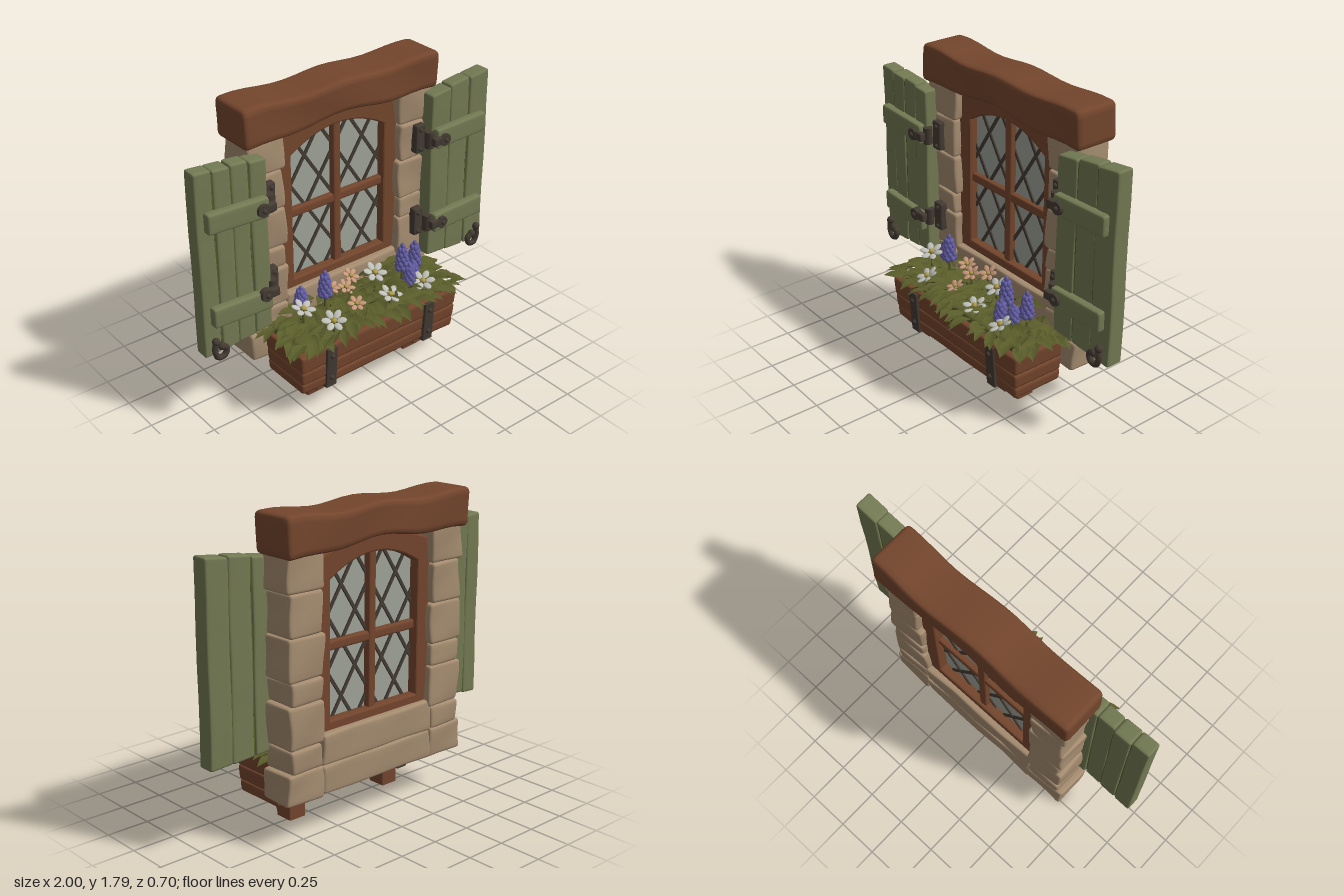
import * as THREE from 'three';
import { mergeVertices } from 'three/addons/utils/BufferGeometryUtils.js';

const mat = (name, color, side = THREE.FrontSide) => {
  const m = new THREE.MeshStandardMaterial({ color, side });
  m.name = name;
  return m;
};
const wood = mat('brown wood', 0x74462d), paint = mat('green paint', 0x737a53),
  stone = mat('sandstone', 0xa58c70), glass = mat('pale glass', 0xa0a59a),
  iron = mat('dark iron', 0x443b33), leafGreen = mat('leaf green', 0x5a5d2a, THREE.DoubleSide),
  white = mat('white petal', 0xbfc0b8), peach = mat('peach petal', 0xc6977a),
  violet = mat('violet bell', 0x6660a8), yellow = mat('yellow centre', 0xb09a42);

let seed = 7;
const rand = (a = 0, b = 1) => {
  seed = (seed * 16807) % 2147483647;
  return a + (b - a) * seed / 2147483647;
};

function add(parent, name, geo, material, x = 0, y = 0, z = 0) {
  const m = new THREE.Mesh(geo, material);
  m.name = name;
  m.position.set(x, y, z);
  parent.add(m);
  return m;
}

// Soft-edged block between two corners, hand-carved by a warp rule
function block(parent, name, material, [x0, x1], [y0, y1], [z0, z1], r, warp = () => {}, n = 8) {
  const g = new THREE.BoxGeometry(2, 2, 2, n, n, n);
  g.deleteAttribute('uv');
  g.deleteAttribute('normal');
  const half = [(x1 - x0) / 2, (y1 - y0) / 2, (z1 - z0) / 2];
  const mid = new THREE.Vector3((x0 + x1) / 2, (y0 + y1) / 2, (z0 + z1) / 2);
  const place = (u, h) => {
    const i = Math.round((Math.abs(u) - 1) * n / 2);
    const inner = h - r;
    if (i === 0) return Math.sign(u) * h;
    if (i === -1) return Math.sign(u) * (h - 0.4 * r);
    return u / (1 - 4 / n) * inner;
  };
  const p = g.attributes.position, v = new THREE.Vector3(), q = new THREE.Vector3();
  const lim = new THREE.Vector3(...half).subScalar(r), low = lim.clone().negate();
  for (let i = 0; i < p.count; i++) {
    v.set(place(p.getX(i), half[0]), place(p.getY(i), half[1]), place(p.getZ(i), half[2]));
    q.copy(v).clamp(low, lim);
    v.sub(q).normalize().multiplyScalar(r).add(q).add(mid);
    warp(v);
    p.setXYZ(i, v.x, v.y, v.z);
  }
  const geo = mergeVertices(g);
  geo.computeVertexNormals();
  return add(parent, name, geo, material);
}
const rough = (k, a = 0.006) => v => {
  v.x += a * Math.sin(17 * v.y + 9 * v.z + k);
  v.z += a * Math.sin(13 * v.x + 15 * v.y + 2 * k);
};

function buildWall(root) {
  const g = new THREE.Group();
  g.name = 'stoneSurround';
  const rows = [0.415, 0.55, 0.79, 0.92, 1.155, 1.385, 1.6];
  for (const s of [-1, 1]) {
    for (let i = 0; i < rows.length - 1; i++) {
      const out = 0.625 + (i % 2) * 0.012, inn = 0.405 - (i % 2) * 0.012;
      block(g, 'jambStone', stone, [Math.min(s * out, s * inn), Math.max(s * out, s * inn)],
        [rows[i], rows[i + 1]], [-0.315, -0.1], 0.02, rough(i * 2 + s));
    }
    block(g, 'cornerStone', stone, s < 0 ? [-0.66, -0.4] : [0.4, 0.655], [0.24, 0.42], [-0.318, -0.1], 0.022, rough(s));
  }
  block(g, 'lowerSillStone', stone, [-0.41, 0.41], [0.245, 0.415], [-0.315, -0.105], 0.02, rough(3));
  block(g, 'upperSillStone', stone, [-0.41, 0.41], [0.41, 0.59], [-0.312, -0.11], 0.02, rough(5));
  // Heavy wavy beam
  block(g, 'lintel', wood, [-0.66, 0.655], [1.575, 1.78], [-0.345, -0.07], 0.03, v => {
    const low = (1.78 - v.y) / 0.205;
    v.y += 0.011 * Math.cos(v.x * 11) + low * 0.02 * Math.cos(v.x * 4.2);
    v.z += 0.006 * Math.sin(v.x * 8 + v.y * 12);
  }, 20);
  root.add(g);
}

function archShape(S, w, bottom, side, peak) {
  const s = new S();
  s.moveTo(-w, bottom);
  s.lineTo(w, bottom);
  s.lineTo(w, side);
  s.quadraticCurveTo(0, 2 * peak - side, -w, side);
  s.lineTo(-w, bottom);
  return s;
}

function buildWindow(root) {
  const g = new THREE.Group();
  g.name = 'window';
  const frame = archShape(THREE.Shape, 0.405, 0.585, 1.52, 1.6);
  frame.holes.push(archShape(THREE.Path, 0.33, 0.63, 1.415, 1.52));
  add(g, 'archedFrame', new THREE.ExtrudeGeometry(frame, {
    depth: 0.1, bevelThickness: 0.012, bevelSize: 0.01, bevelSegments: 2, curveSegments: 16 }), wood, 0, 0, -0.262);
  block(g, 'mullion', wood, [-0.026, 0.026], [0.6, 1.55], [-0.255, -0.165], 0.012);
  block(g, 'transom', wood, [-0.36, 0.36], [1.018, 1.072], [-0.25, -0.17], 0.012);
  add(g, 'pane', new THREE.ExtrudeGeometry(archShape(THREE.Shape, 0.36, 0.6, 1.45, 1.55),
    { depth: 0.012, bevelEnabled: false, curveSegments: 16 }), glass, 0, 0, -0.216);
  // Diamond leading, clipped to the opening
  const slope = 1.55, lo = 0.6, hi = 1.53, w = 0.35;
  for (const s of [-1, 1]) for (let c = -1; c <= 1; c += 0.2) {
    const yMid = 1.05;
    let a = Math.max(-w, c + (lo - yMid) / slope), b = Math.min(w, c + (hi - yMid) / slope);
    if (b > 0.24) b = Math.min(b, Math.max(0.24, c + (1.46 - yMid) / slope));
    if (b - a < 0.03) continue;
    const ya = yMid + (a - c) * slope, yb = yMid + (b - c) * slope;
    const bar = add(g, 'leadBar', new THREE.BoxGeometry(0.018, Math.hypot(b - a, yb - ya), 0.03), iron,
      s * (a + b) / 2, (ya + yb) / 2, -0.21);
    bar.rotation.z = -s * Math.atan2(b - a, yb - ya);
  }
  root.add(g);
}

function buildShutter(root, s) {
  const g = new THREE.Group();
  g.name = s > 0 ? 'leftShutter' : 'rightShutter';
  const count = s > 0 ? 3 : 4, x0 = 0.565, w = 0.435 / count;
  const [topIn, topOut, botIn, botOut] = s > 0 ? [1.55, 1.605, 0.51, 0.485] : [1.53, 1.565, 0.5, 0.467];
  const span = (a, b) => (s > 0 ? [a, b] : [-b, -a]);
  for (let i = 0; i < count; i++) {
    const a = x0 + i * w, t = (i + 0.5) / count, bump = (i % 2) * 0.006;
    const top = topIn + (topOut - topIn) * t, bot = botIn + (botOut - botIn) * t;
    block(g, 'plank', paint, span(a + 0.001, a + w - 0.001), [bot - bump, top + bump], [-0.125 + bump, -0.022 - bump], 0.014, v => {
      const u = (v.y - bot) / (top - bot), k = (Math.abs(v.x) - a - w / 2) / 0.435;
      v.y += k * ((topOut - topIn) * u + (botOut - botIn) * (1 - u));
      v.z += 0.003 * Math.sin(v.y * 9 + i * 2);
    }, 10);
    if (i) add(g, 'mossySeam', new THREE.BoxGeometry(0.012, top - bot - 0.05, 0.082), leafGreen, s * a, (top + bot) / 2, -0.073);
  }
  // Battens with iron hinges
  for (const [y, hy] of s > 0 ? [[1.295, 1.285], [0.745, 0.745]] : [[1.275, 1.265], [0.71, 0.745]]) {
    block(g, 'batten', paint, span(0.58, 0.955), [y - 0.06, y + 0.06], [-0.04, 0.018], 0.016,
      v => { v.y += (s > 0 ? 0.03 : 0.05) * (Math.abs(v.x) - 0.77); });
    block(g, 'hingePlate', iron, span(0.488, 0.558), [hy - 0.088, hy + 0.088], [-0.115, -0.06], 0.012);
    add(g, 'hingeKnuckle', new THREE.CylinderGeometry(0.028, 0.028, 0.1, 14), iron, s * 0.558, hy, -0.03);
    block(g, 'hingeStrap', iron, span(0.545, 0.635), [hy - 0.026, hy + 0.026], [-0.005, 0.034], 0.01);
    const end = add(g, 'strapEnd', new THREE.CylinderGeometry(0.036, 0.04, 0.035, 14), iron, s * 0.628, hy, 0.018);
    end.rotation.x = Math.PI / 2;
    add(g, 'rivet', new THREE.SphereGeometry(0.014, 8, 6), iron, s * 0.628, hy, 0.036);
    for (const d of [-0.06, 0.06]) add(g, 'rivet', new THREE.SphereGeometry(0.013, 8, 6), iron, s * 0.515, hy + d, -0.058);
  }
  // Curled catch
  const pts = [[0.945, 0.57], [0.955, 0.51], [0.935, 0.465], [0.895, 0.47], [0.882, 0.51], [0.91, 0.53]];
  const lift = s > 0 ? 0.018 : -0.005;
  const curve = new THREE.CatmullRomCurve3(pts.map(([x, y]) => new THREE.Vector3(s > 0 ? x - 0.005 : -x, y + lift, -0.005)));
  add(g, 'catchHook', new THREE.TubeGeometry(curve, 24, 0.017, 8), iron);
  for (const [x, y] of [pts[0], pts[5]]) add(g, 'hookEnd', new THREE.SphereGeometry(0.023, 10, 8), iron, s * x, y + lift, -0.005);
  root.add(g);
}

function buildPlanter(root) {
  const g = new THREE.Group();
  g.name = 'planter';
  const rows = [0.15, 0.215, 0.3, 0.412];
  for (let i = 0; i < 3; i++) {
    block(g, 'planterBoard', wood, [-0.57, 0.57], [rows[i], rows[i + 1] + 0.006], [-0.115, 0.238], 0.018, v => {
      const k = 1 + (v.y - 0.4) * 0.11;
      v.x *= k;
      v.z = 0.06 + (v.z - 0.06) * (1 + (v.y - 0.4) * 0.35) + 0.004 * Math.sin(v.x * 12 + i);
      v.y += 0.004 * Math.sin(v.x * 9 + i);
    }, 14);
  }
  for (const x of [-0.363, 0.353]) {
    const strap = block(g, 'ironStrap', iron, [x - 0.037, x + 0.037], [0.135, 0.405], [0.215, 0.252], 0.008,
      v => { v.z += (v.y - 0.4) * 0.07; });
    strap.name = 'frontStrap';
    block(g, 'bottomStrap', iron, [x - 0.037, x + 0.037], [0.134, 0.16], [-0.13, 0.235], 0.008);
    block(g, 'backStrap', iron, [x - 0.037, x + 0.037], [0.134, 0.23], [-0.135, -0.1], 0.008);
    for (const y of [0.2, 0.35]) add(g, 'rivet', new THREE.SphereGeometry(0.016, 10, 8), iron, x, y, 0.25 + (y - 0.4) * 0.07);
    // Curved corbel
    const c = new THREE.Shape();
    c.moveTo(-0.025, 0.005);
    c.lineTo(0.075, 0.005);
    c.quadraticCurveTo(0.085, 0.085, 0.17, 0.1);
    c.lineTo(0.17, 0.16);
    c.lineTo(-0.025, 0.16);
    const geo = new THREE.ExtrudeGeometry(c, { depth: 0.1, bevelThickness: 0.008, bevelSize: 0.005, bevelSegments: 2, curveSegments: 8 });
    add(g, 'corbel', geo.rotateY(-Math.PI / 2), wood, x + 0.05, 0, 0).scale.x = 1;
  }
  root.add(g);
}

// Folded, pointed leaf along +z
function leafGeometry() {
  const pos = [], idx = [], widths = [0.12, 0.34, 0.4, 0.26, 0];
  widths.forEach((w, i) => {
    const t = i / 4, y = 0.12 * t - 0.35 * t * t;
    pos.push(-w / 1.7, y + w * 0.25, t, 0, y, t, w / 1.7, y + w * 0.25, t);
    if (i) for (const k of [0, 1]) {
      const a = i * 3 - 3 + k, b = i * 3 + k;
      idx.push(a, b, a + 1, a + 1, b, b + 1);
    }
  });
  const g = new THREE.BufferGeometry();
  g.setAttribute('position', new THREE.Float32BufferAttribute(pos, 3));
  g.setIndex(idx);
  g.computeVertexNormals();
  return g;
}

function buildPlants(root) {
  const g = new THREE.Group();
  g.name = 'plants';
  block(g, 'leafBed', leafGreen, [-0.54, 0.54], [0.38, 0.455], [-0.1, 0.2], 0.03);
  const leaf = leafGeometry();
  for (let i = 0; i < 17; i++) for (let j = 0; j < 5; j++) for (let k = 0; k < 2; k++) {
    const x = -0.52 + i * 0.065 + rand(-0.02, 0.02), z = -0.07 + j * 0.067 + rand(-0.02, 0.02);
    const edge = Math.max(Math.abs(x) / 0.54, (z + 0.1) / 0.31);
    const m = add(g, 'leaf', leaf, leafGreen, x, 0.435 + 0.08 * Math.max(0, 1 - edge * edge) + k * 0.012, z);
    const tilt = edge > 0.85 ? rand(-0.3, 0.12) : rand(-0.65, -0.1);
    m.rotation.set(tilt, Math.atan2(x, z + 0.25) + rand(-0.7, 0.7), rand(-0.25, 0.25), 'YXZ');
    m.scale.setScalar(rand(0.105, 0.145));
  }
  // Open flowers
  const petal = new THREE.SphereGeometry(1, 8, 6), ball = new THREE.SphereGeometry(1, 8, 6);
  const stem = (x, y, z) => add(g, 'stem', new THREE.CylinderGeometry(0.007, 0.009, y - 0.42, 6), leafGreen, x, (y + 0.42) / 2, z);
  const flower = (material, x, y, z, r) => {
    const f = new THREE.Group();
    f.name = 'flower';
    for (let i = 0; i < 6; i++) {
      const a = i * Math.PI / 3;
      const p = add(f, 'petal', petal, material, Math.sin(a) * r * 0.6, r * 0.1, Math.cos(a) * r * 0.6);
      p.scale.set(r * 0.28, r * 0.1, r * 0.42);
      p.rotation.set(-0.2, a, 0, 'YXZ');
    }
    add(f, 'flowerCentre', ball, yellow, 0, r * 0.14, 0).scale.set(r * 0.24, r * 0.18, r * 0.24);
    f.position.set(x, y, z);
    f.rotation.set(rand(0.3, 0.6), 0, rand(-0.25, 0.25));
    g.add(f);
    stem(x, y - 0.005, z);
  };
  for (const [x, y, z] of [[-0.42, 0.585, 0.06], [-0.3, 0.52, 0.18], [0.13, 0.58, 0.01], [0.12, 0.51, 0.16], [0.36, 0.51, 0.17]])
    flower(white, x, y, z, 0.072);
  for (const [x, y, z] of [[-0.17, 0.59, -0.01], [-0.09, 0.575, 0.02], [-0.01, 0.59, -0.04], [-0.1, 0.525, 0.13]])
    flower(peach, x, y, z, 0.055);
  // Bell spikes
  for (const [x, y0, y1, z] of [[-0.26, 0.62, 0.77, 0.05], [-0.375, 0.56, 0.68, -0.02], [0.285, 0.59, 0.75, 0.07],
    [0.415, 0.55, 0.7, 0.03], [0.3, 0.51, 0.63, 0.12], [0.36, 0.51, 0.61, 0.08]]) {
    stem(x, y0 + 0.03, z);
    const h = y1 - y0 - 0.02;
    for (let i = 0; i < 6; i++) {
      const t = i / 5, n = i === 5 ? 1 : 6, r = i === 5 ? 0 : 0.028 * (1 - 0.65 * t * t);
      for (let k = 0; k < n; k++) {
        const a = (k + i / 2) * Math.PI * 2 / n;
        add(g, 'bell', ball, violet, x + r * Math.cos(a), y0 + h * t, z + r * Math.sin(a)).scale.set(0.017 - 0.004 * t, 0.021, 0.017 - 0.004 * t);
      }
    }
  }
  root.add(g);
}

export function createModel() {
  const root = new THREE.Group();
  root.name = 'cottageWindow';
  seed = 7;
  buildWall(root);
  buildWindow(root);
  buildShutter(root, 1);
  buildShutter(root, -1);
  buildPlanter(root);
  buildPlants(root);
  return root;
}
